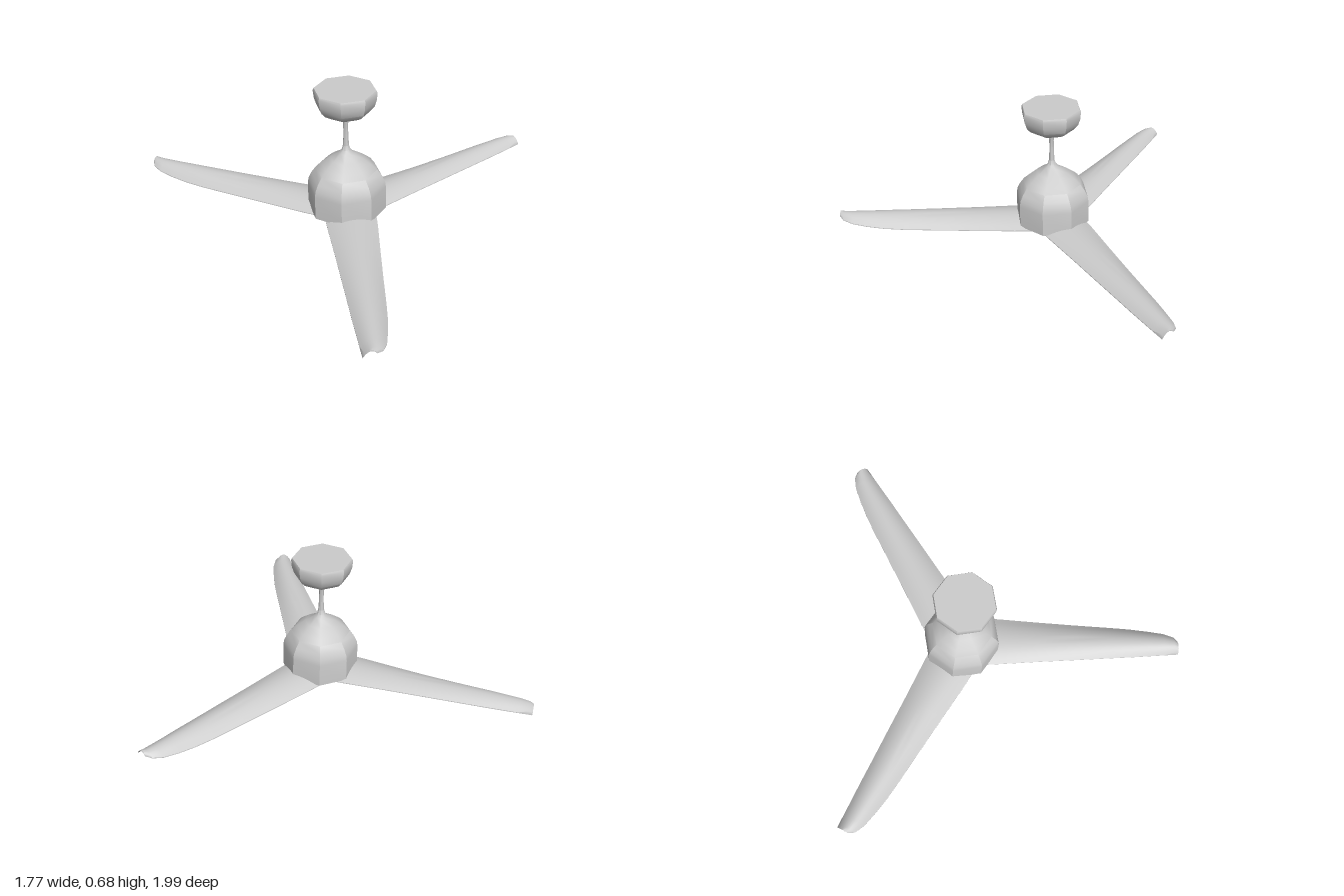
import * as THREE from 'three';
import { toCreasedNormals } from 'three/addons/utils/BufferGeometryUtils.js';

const material = new THREE.MeshStandardMaterial({ color: 0xcccccc, side: THREE.DoubleSide });

function part(name, geometry, crease) {
  const mesh = new THREE.Mesh(toCreasedNormals(geometry, crease), material);
  mesh.name = name;
  return mesh;
}

// Eight-sided turned part from [radius, height] pairs
function turned(name, profile) {
  const points = profile.map(([r, y]) => new THREE.Vector2(r, y));
  return part(name, new THREE.LatheGeometry(points, 8), 0.65);
}

// Blade stations: distance from hub, rear edge w, front edge w, rear edge y, crest y, front edge y
const stations = [
  [0.08, -0.133, 0.124, 0.025, 0.056, 0.025],
  [0.20, -0.125, 0.120, 0.021, 0.056, 0.024],
  [0.40, -0.105, 0.112, 0.014, 0.055, 0.022],
  [0.60, -0.086, 0.106, 0.008, 0.054, 0.020],
  [0.78, -0.070, 0.100, 0.004, 0.053, 0.018],
  [0.89, -0.058, 0.097, 0.005, 0.052, 0.017],
  [0.98, -0.043, 0.093, 0.009, 0.051, 0.016],
  [1.06, -0.026, 0.090, 0.017, 0.050, 0.016],
  [1.11, -0.003, 0.088, 0.027, 0.049, 0.016],
  [1.13, 0.025, 0.087, 0.035, 0.048, 0.016],
];

// Thin arched shell: each section runs over the top and back underneath
function bladeGeometry() {
  const n = 10, thickness = 0.004, ring = 2 * (n + 1);
  const positions = [], index = [];
  for (const [u, w0, w1, y0, crest, y1] of stations) {
    for (let k = 0; k < ring; k++) {
      const top = k <= n;
      const t = (top ? k : ring - 1 - k) / n;
      const edge = THREE.MathUtils.lerp(y0, y1, t);
      const rise = (crest - (y0 + y1) / 2) * 4 * t * (1 - t);
      positions.push(u, edge + rise - (top ? 0 : thickness), THREE.MathUtils.lerp(w0, w1, t));
    }
  }
  for (let i = 0; i < stations.length - 1; i++) {
    for (let k = 0; k < ring; k++) {
      const a = i * ring + k, b = i * ring + (k + 1) % ring;
      index.push(a, b, a + ring, b, b + ring, a + ring);
    }
  }
  // Tip end face
  const last = (stations.length - 1) * ring;
  for (let k = 0; k < n; k++) {
    const t0 = last + k, t1 = t0 + 1, b0 = last + ring - 1 - k, b1 = b0 - 1;
    index.push(b0, t0, t1, b0, t1, b1);
  }
  const geometry = new THREE.BufferGeometry();
  geometry.setAttribute('position', new THREE.Float32BufferAttribute(positions, 3));
  geometry.setIndex(index);
  return geometry;
}

export function createModel() {
  const fan = new THREE.Group();
  fan.name = 'ceilingFan';

  // Domed motor housing
  fan.add(turned('motorHousing', [
    [0, 0.028], [0.195, 0.028], [0.195, 0.15], [0.19, 0.18], [0.175, 0.212],
    [0.152, 0.245], [0.125, 0.27], [0.08, 0.305], [0.035, 0.335], [0.022, 0.352], [0.015, 0.375],
  ]));

  // Down rod
  fan.add(turned('downRod', [[0.015, 0.375], [0.012, 0.43], [0.012, 0.49], [0.015, 0.51]]));

  // Ceiling canopy
  fan.add(turned('canopy', [
    [0.015, 0.51], [0.024, 0.525], [0.05, 0.533], [0.09, 0.547], [0.12, 0.566],
    [0.14, 0.59], [0.151, 0.625], [0.155, 0.665], [0.15, 0.676], [0, 0.676],
  ]));

  // Three blades
  const geometry = bladeGeometry();
  for (let i = 0; i < 3; i++) {
    const blade = part('blade' + (i + 1), geometry, 0.7);
    blade.rotation.y = i * Math.PI * 2 / 3;
    fan.add(blade);
  }

  // The hub sits off-centre so the blade span is centred
  fan.position.set(-0.245, 0, 0.028);
  const model = new THREE.Group();
  model.add(fan);
  return model;
}
